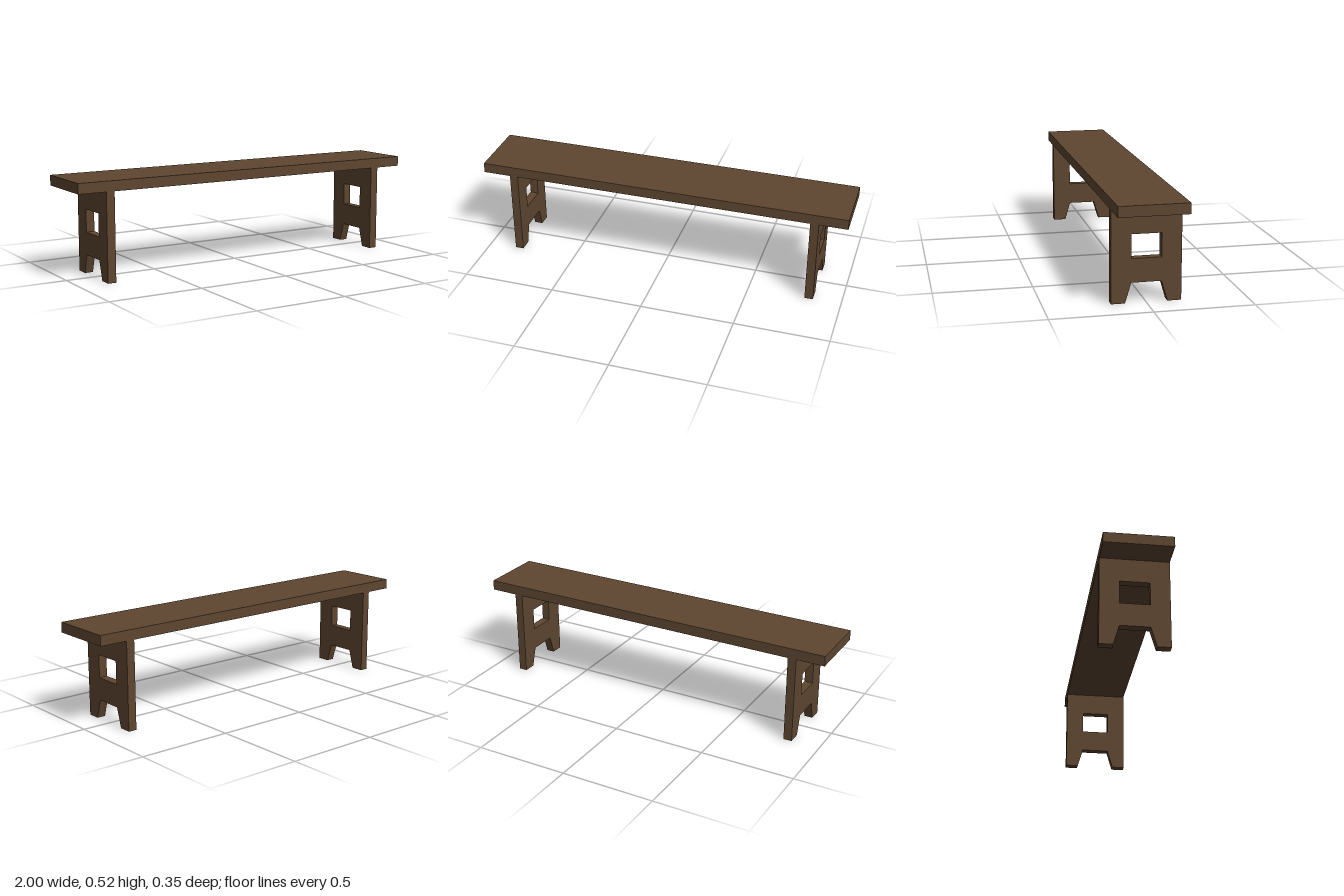
import * as THREE from 'three';

const SEAT_TOP = 0.518, SEAT_BOTTOM = 0.464, HALF_DEPTH = 0.174;
const LEG_INNER = 0.805, LEG_THICKNESS = 0.045;

const polygon = (points, Type = THREE.Shape) =>
  new Type(points.map(([x, y]) => new THREE.Vector2(x, y)));

// Upright board with a tapered foot notch and a rectangular window
function legGeometry() {
  const board = polygon([
    [-HALF_DEPTH, 0], [-0.105, 0], [-0.075, 0.102], [0.075, 0.102],
    [0.105, 0], [HALF_DEPTH, 0], [HALF_DEPTH, SEAT_BOTTOM], [-HALF_DEPTH, SEAT_BOTTOM],
  ]);
  board.holes.push(polygon([
    [-0.075, 0.222], [-0.075, 0.342], [0.075, 0.342], [0.075, 0.222],
  ], THREE.Path));
  const geometry = new THREE.ExtrudeGeometry(board, { depth: LEG_THICKNESS, bevelEnabled: false });
  return geometry.translate(0, 0, -LEG_THICKNESS / 2).rotateY(Math.PI / 2);
}

export function createModel() {
  const bench = new THREE.Group();
  bench.name = 'bench';
  const wood = new THREE.MeshStandardMaterial({ color: 0x5e4630 });

  // Long plank seat
  const seat = new THREE.Mesh(
    new THREE.BoxGeometry(2, SEAT_TOP - SEAT_BOTTOM, HALF_DEPTH * 2), wood);
  seat.name = 'seat';
  seat.position.y = (SEAT_TOP + SEAT_BOTTOM) / 2;
  bench.add(seat);

  // A matching leg board near each end
  const geometry = legGeometry();
  for (const [name, side] of [['leftLeg', 1], ['rightLeg', -1]]) {
    const leg = new THREE.Mesh(geometry, wood);
    leg.name = name;
    leg.position.x = side * (LEG_INNER + LEG_THICKNESS / 2);
    bench.add(leg);
  }
  return bench;
}
